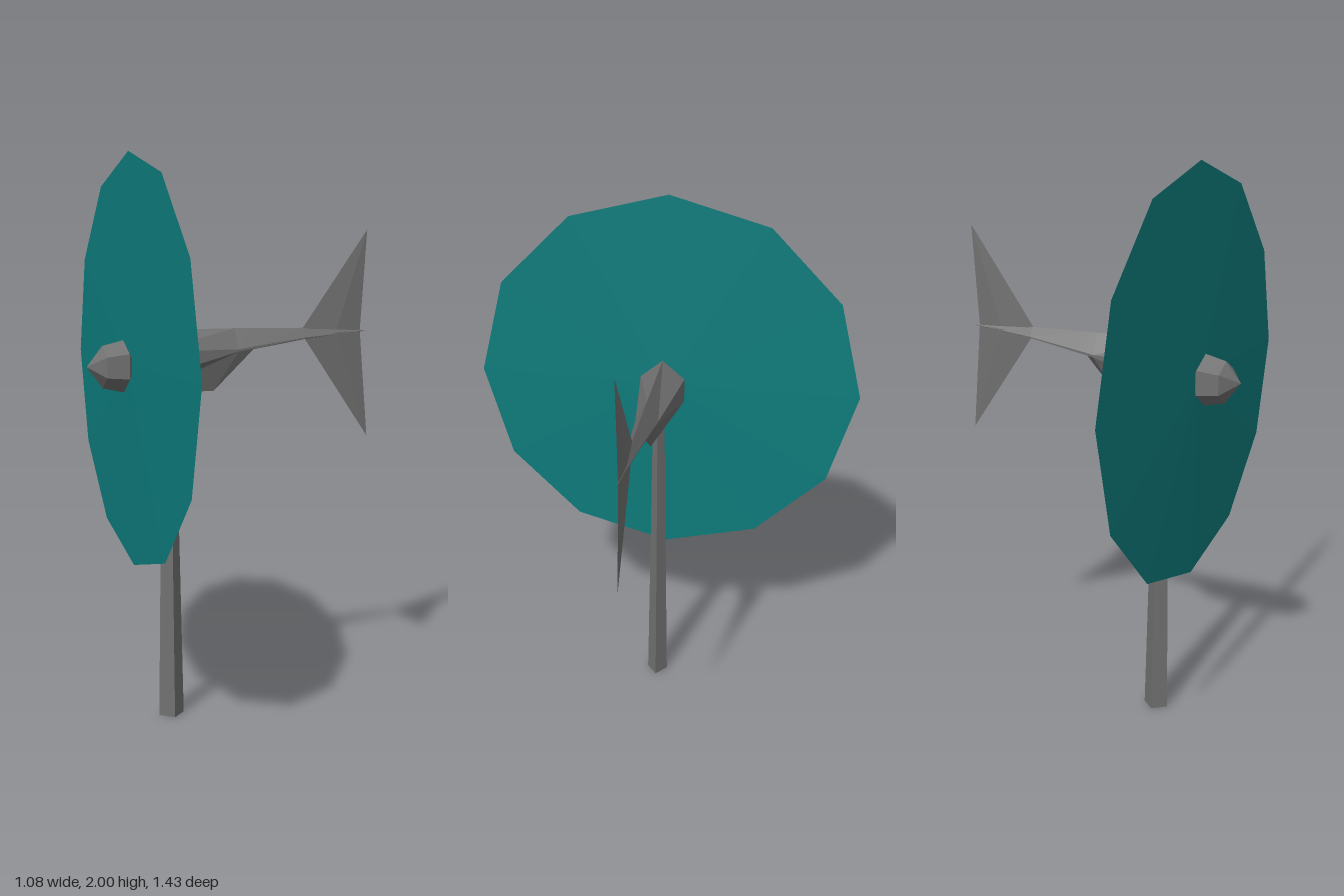
import * as THREE from 'three';

const ZC = 0.01; // centre plane of the pole, nacelle and tail

// Hexagonal section: x, top y, upper side y, lower side y, bottom y, half width, bottom x
function hex([x, top, up, low, bot, w, xb = x]) {
  return [[x, top, ZC], [x, up, ZC + w], [x, low, ZC + w], [xb, bot, ZC], [x, low, ZC - w], [x, up, ZC - w]];
}

// Skin a row of six-sided sections running along +x
function loft(rows) {
  const rings = rows.map(hex), pos = [];
  for (let i = 0; i < rings.length - 1; i++) {
    for (let j = 0; j < 6; j++) {
      const k = (j + 1) % 6;
      const a = rings[i][j], b = rings[i][k], c = rings[i + 1][k], d = rings[i + 1][j];
      pos.push(...a, ...b, ...d, ...b, ...c, ...d);
    }
  }
  return fromTriangles(pos);
}

function fromTriangles(pos) {
  const g = new THREE.BufferGeometry();
  g.setAttribute('position', new THREE.Float32BufferAttribute(pos, 3));
  g.computeVertexNormals();
  return g;
}

export function createModel() {
  const group = new THREE.Group();
  const grey = new THREE.MeshStandardMaterial({ color: 0x707070, flatShading: true, side: THREE.DoubleSide });
  grey.name = 'grey metal';
  const teal = new THREE.MeshStandardMaterial({ color: 0x0e7c7c, flatShading: true });
  teal.name = 'teal rotor';
  const add = (name, geometry, material) => {
    const mesh = new THREE.Mesh(geometry, material);
    mesh.name = name;
    group.add(mesh);
    return mesh;
  };

  // Tapered four-sided pole
  const pole = add('pole', new THREE.CylinderGeometry(0.025, 0.047, 1.2, 4), grey);
  pole.scale.z = 0.86;
  pole.position.set(-0.248, 0.6, ZC);

  // Shallow twelve-sided lens for the spinning rotor
  const profile = [[0, -0.015], [0.715, 0], [0, 0.015]].map(p => new THREE.Vector2(...p));
  const rotor = add('rotorDisc', new THREE.LatheGeometry(profile, 12), teal);
  rotor.rotation.z = Math.PI / 2;
  rotor.position.set(-0.38, 1.285, 0);

  // Nose cone in front of the rotor, narrowing into the hub
  add('noseCone', loft([
    [-0.54, 1.28, 1.28, 1.28, 1.28, 0],
    [-0.485, 1.35, 1.315, 1.245, 1.205, 0.064],
    [-0.41, 1.368, 1.325, 1.24, 1.188, 0.078],
    [-0.39, 1.33, 1.305, 1.26, 1.23, 0.04],
    [-0.38, 1.28, 1.28, 1.28, 1.28, 0]
  ]), grey);

  // Nacelle drawn out into a tail boom
  add('nacelle', loft([
    [-0.38, 1.285, 1.285, 1.285, 1.285, 0],
    [-0.365, 1.33, 1.305, 1.26, 1.22, 0.04],
    [-0.33, 1.4, 1.33, 1.24, 1.18, 0.082],
    [0, 1.4, 1.328, 1.32, 1.18, 0.04, -0.08],
    [0.06, 1.399, 1.336, 1.328, 1.32, 0.035, 0.05],
    [0.27, 1.396, 1.362, 1.358, 1.354, 0.018],
    [0.515, 1.383, 1.381, 1.38, 1.379, 0.001]
  ]), grey);

  // Tail fins: thin wedges with a ridge on each side, running to a point
  const fin = (name, lead, trail, tip) => {
    const pos = [];
    for (const s of [1, -1]) {
      const ridge = [0.4, (lead[1] + trail[1]) / 2, ZC + s * 0.009];
      pos.push(...lead, ...ridge, ...tip, ...ridge, ...trail, ...tip);
    }
    // Reverse the winding where needed so every face points outward
    for (let i = 0; i < pos.length; i += 9) {
      const [ax, ay, , bx, by, , cx, cy] = pos.slice(i, i + 9);
      const turn = (bx - ax) * (cy - ay) - (by - ay) * (cx - ax);
      const side = i < pos.length / 2 ? 1 : -1;
      if (turn * side < 0) {
        const b = pos.slice(i + 3, i + 6), c = pos.slice(i + 6, i + 9);
        pos.splice(i + 3, 6, ...c, ...b);
      }
    }
    add(name, fromTriangles(pos), grey);
  };
  fin('upperTailFin', [0.265, 1.393, ZC], [0.5, 1.382, ZC], [0.524, 1.75, ZC]);
  fin('lowerTailFin', [0.265, 1.37, ZC], [0.5, 1.382, ZC], [0.536, 0.985, ZC]);

  return group;
}
